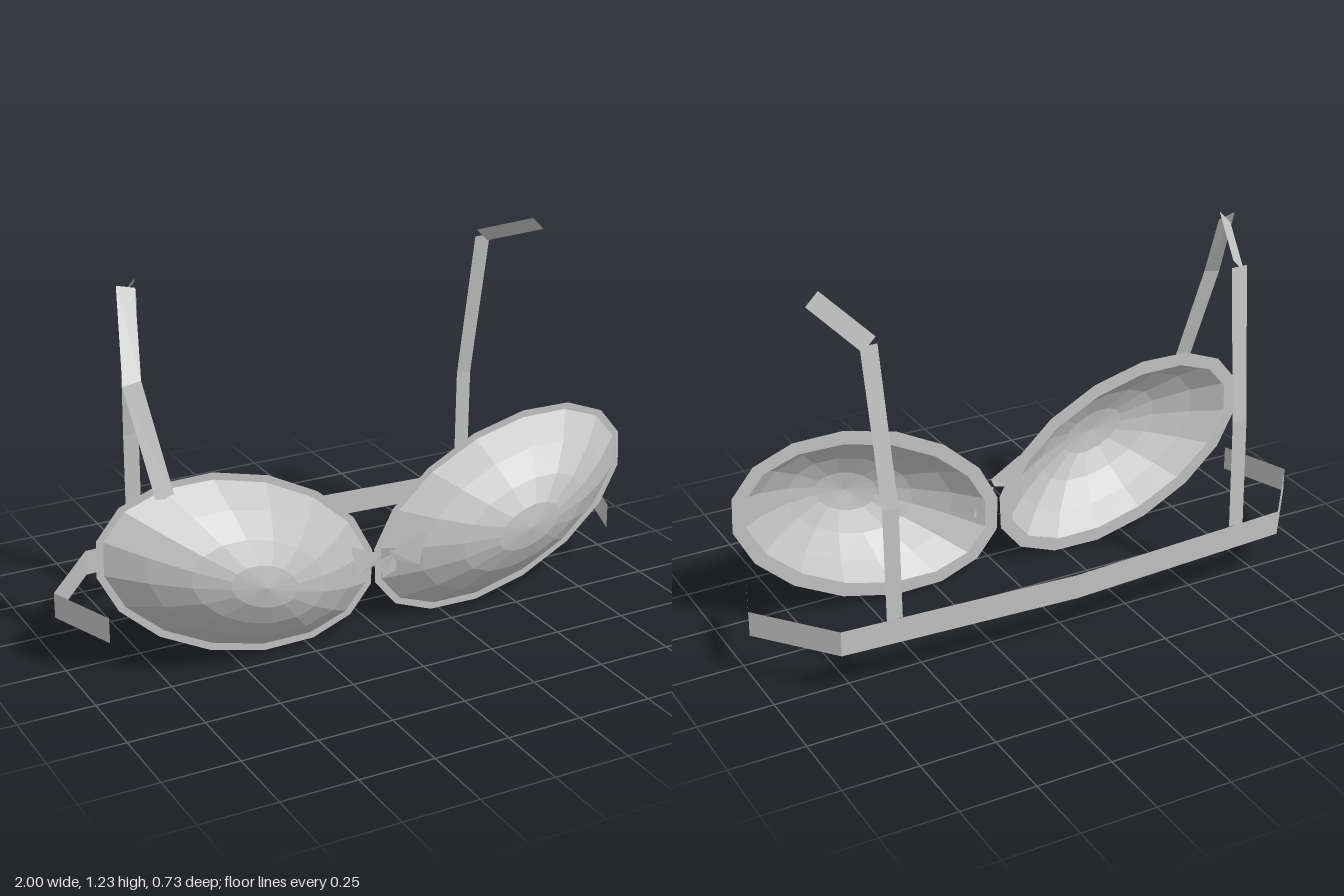
import * as THREE from 'three';

const fabric = new THREE.MeshStandardMaterial({ color: 0xc0c0c0, side: THREE.DoubleSide, flatShading: true });
fabric.name = 'light grey fabric';

// Flat-shaded ribbon through a list of cross-sections, each a pair of edge points
function ribbon(name, pairs) {
  const pos = [];
  for (let i = 0; i < pairs.length - 1; i++) {
    const [a, b] = pairs[i], [c, d] = pairs[i + 1];
    pos.push(...a, ...b, ...c, ...b, ...d, ...c);
  }
  const geo = new THREE.BufferGeometry();
  geo.setAttribute('position', new THREE.Float32BufferAttribute(pos, 3));
  geo.computeVertexNormals();
  const mesh = new THREE.Mesh(geo, fabric);
  mesh.name = name;
  return mesh;
}

// Mirrors cross-sections across x when side is -1
const mirror = (pairs, side) => pairs.map(p => p.map(([x, y, z]) => [x * side, y, z]));

// Tilted elliptical cup: a shallow parabolic bowl with a flat rim binding
function cup(side) {
  const A = 0.475, B = 0.272, DEPTH = 0.2, SEGS = 16, RIM = 0.024;
  const group = new THREE.Group();
  group.name = side > 0 ? 'leftCup' : 'rightCup';

  const profile = [1, 0.76, 0.5, 0.25, 0].map(r => new THREE.Vector2(r, DEPTH * (1 - r * r)));
  const lathe = new THREE.LatheGeometry(profile, SEGS);
  lathe.rotateX(Math.PI / 2).scale(A, B, 1);
  const bowlGeo = lathe.toNonIndexed();
  bowlGeo.computeVertexNormals();
  const bowl = new THREE.Mesh(bowlGeo, fabric);
  bowl.name = 'cupBowl';

  const pairs = [];
  for (let i = 0; i <= SEGS; i++) {
    const t = (i / SEGS) * Math.PI * 2;
    const at = w => [(A + w) * Math.cos(t), (B + w) * Math.sin(t), 0];
    pairs.push([at(-RIM), at(RIM)]);
  }
  group.add(bowl, ribbon('cupRim', pairs));
  group.position.set(side * 0.475, 0.332, 0.167);
  group.rotation.z = side * 0.36;
  return group;
}

export function createModel() {
  const model = new THREE.Group();
  model.name = 'bra';

  // Band wrapping round the back
  const half = [[0.913, 0.167], [1, -0.075], [0.8, -0.32], [0, -0.365]];
  const path = [...half, ...half.slice(0, 3).reverse().map(([x, z]) => [-x, z])];
  model.add(ribbon('backBand', path.map(([x, z]) => [[x, 0.16, z], [x, 0.245, z]])));

  for (const side of [1, -1]) {
    model.add(cup(side));

    // Back strap rising from the band
    model.add(ribbon('backStrap', mirror([
      [[0.597, 0.245, -0.33], [0.651, 0.245, -0.33]],
      [[0.597, 0.62, -0.322], [0.651, 0.62, -0.322]],
      [[0.615, 1.13, -0.25], [0.672, 1.13, -0.25]],
    ], side)));

    // Twisted piece over the shoulder
    model.add(ribbon('shoulderStrap', mirror([
      [[0.62, 1.153, -0.25], [0.663, 1.11, -0.25]],
      [[0.705, 1.235, -0.038], [0.748, 1.192, -0.038]],
    ], side)));

    // Bow wing
    model.add(ribbon('bowWing', mirror([
      [[0.135, 0.355, 0.27], [0.115, 0.24, 0.268]],
      [[0.015, 0.3, 0.252], [0.03, 0.27, 0.252]],
    ], side)));
  }

  // Front strap on the right side only
  model.add(ribbon('frontStrap', [
    [[-0.755, 0.612, 0.187], [-0.69, 0.603, 0.187]],
    [[-0.815, 0.957, 0.11], [-0.755, 0.967, 0.11]],
    [[-0.765, 1.222, -0.036], [-0.705, 1.207, -0.036]],
  ]));

  // Bow knot and its loose tail
  model.add(ribbon('bowKnot', [
    [[-0.025, 0.27, 0.25], [-0.01, 0.235, 0.246]],
    [[0.025, 0.28, 0.25], [0.01, 0.235, 0.246]],
  ]));
  model.add(ribbon('bowTail', [
    [[0, 0.25, 0.203], [0.02, 0.187, 0.2]],
    [[0.06, 0.265, 0.2], [0.08, 0.205, 0.197]],
  ]));

  return model;
}
